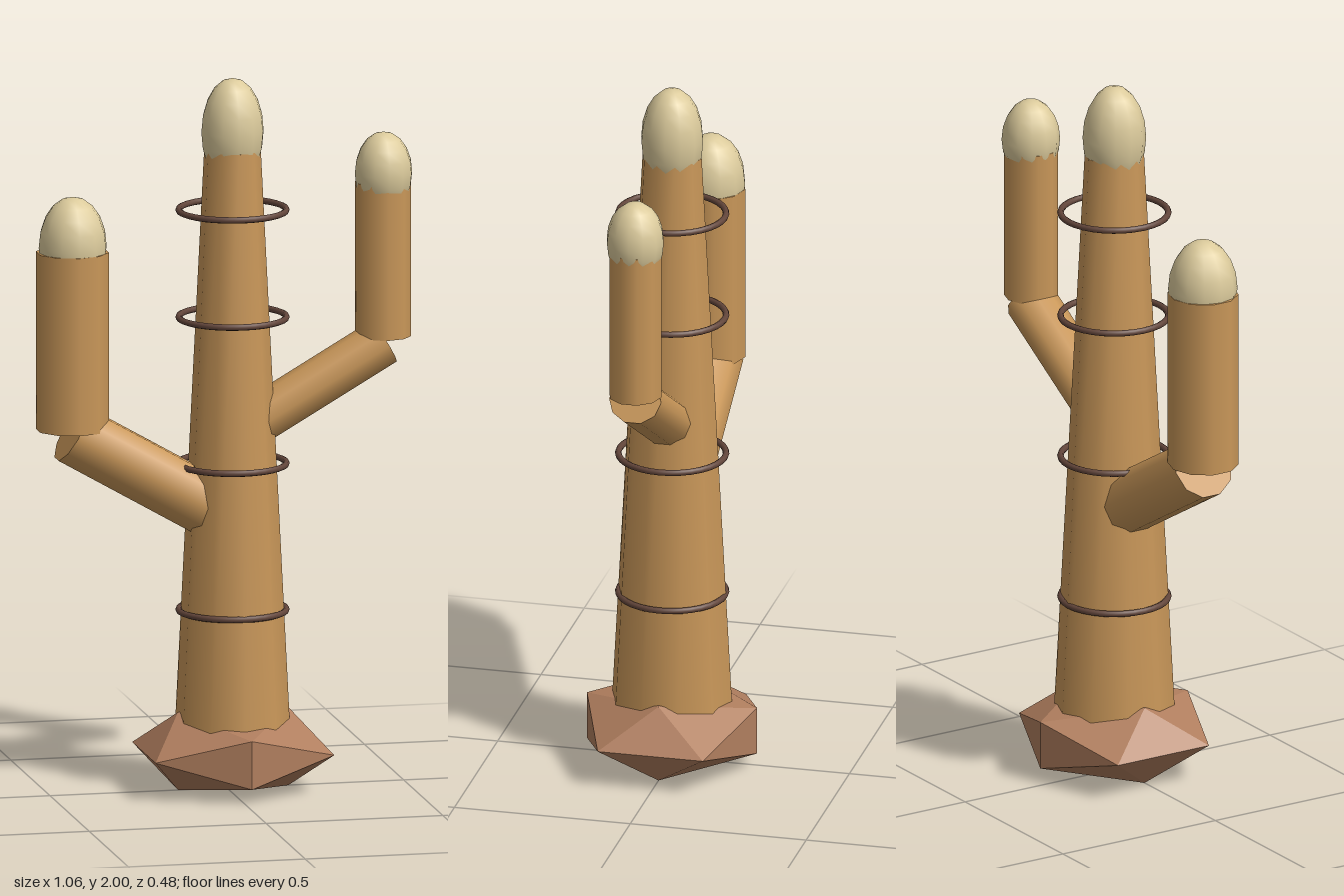
import * as THREE from 'three';

const mat = (color, flatShading = false) => {
  const m = new THREE.MeshStandardMaterial({ color });
  m.flatShading = flatShading;
  return m;
};

export function createModel() {
  const wood = mat(0xc99759);
  const cream = mat(0xdccb9c);
  const rust = mat(0x63463b);
  const clay = mat(0xb07e5e, true);
  const group = new THREE.Group();
  const CX = 0.016; // trunk axis

  const add = (name, geometry, material, x, y, z = 0) => {
    const mesh = new THREE.Mesh(geometry, material);
    mesh.name = name;
    mesh.position.set(x, y, z);
    group.add(mesh);
    return mesh;
  };

  // Ten-sided limb between two points of the z = 0 plane;
  // rA and rB are half depths, flat is the width in x relative to depth
  const limb = (name, a, b, rA, rB, flat) => {
    const dx = b[0] - a[0], dy = b[1] - a[1];
    const geo = new THREE.CylinderGeometry(rB, rA, Math.hypot(dx, dy), 10);
    const mesh = add(name, geo, wood, (a[0] + b[0]) / 2, (a[1] + b[1]) / 2);
    mesh.rotation.z = Math.atan2(-dx, dy);
    mesh.scale.x = flat / Math.cos(Math.PI / 10);
  };

  // Egg-shaped tip
  const tip = (name, x, y, r, h) => {
    add(name, new THREE.SphereGeometry(1, 12, 10), cream, x, y).scale.set(r, h, r);
  };

  // Faceted rock base
  add('base', new THREE.IcosahedronGeometry(1, 0), clay, CX + 0.002, 0.11)
    .scale.set(0.297, 0.129, 0.284);

  // Tapered trunk
  limb('trunk', [CX, 0.11], [CX, 1.8], 0.174, 0.084, 0.885);
  tip('trunkTip', CX, 1.85, 0.088, 0.15);

  // Arm on the -x side
  limb('rightArmBranch', [-0.03, 0.783], [-0.44, 1.02], 0.09, 0.09, 0.92);
  limb('rightArmUpright', [-0.437, 1.03], [-0.437, 1.53], 0.0965, 0.0965, 1);
  tip('rightArmTip', -0.436, 1.545, 0.096, 0.14);

  // Arm on the +x side
  limb('leftArmBranch', [0.05, 1.012], [0.444, 1.24], 0.074, 0.074, 0.85);
  limb('leftArmUpright', [0.442, 1.255], [0.442, 1.69], 0.074, 0.074, 1);
  tip('leftArmTip', 0.443, 1.715, 0.081, 0.115);

  // Metal hoops around the trunk
  const hoop = new THREE.TorusGeometry(0.149, 0.009, 8, 32);
  hoop.rotateX(Math.PI / 2);
  for (const y of [0.503, 0.915, 1.327, 1.629]) add('hoop', hoop, rust, CX, y);

  return group;
}
